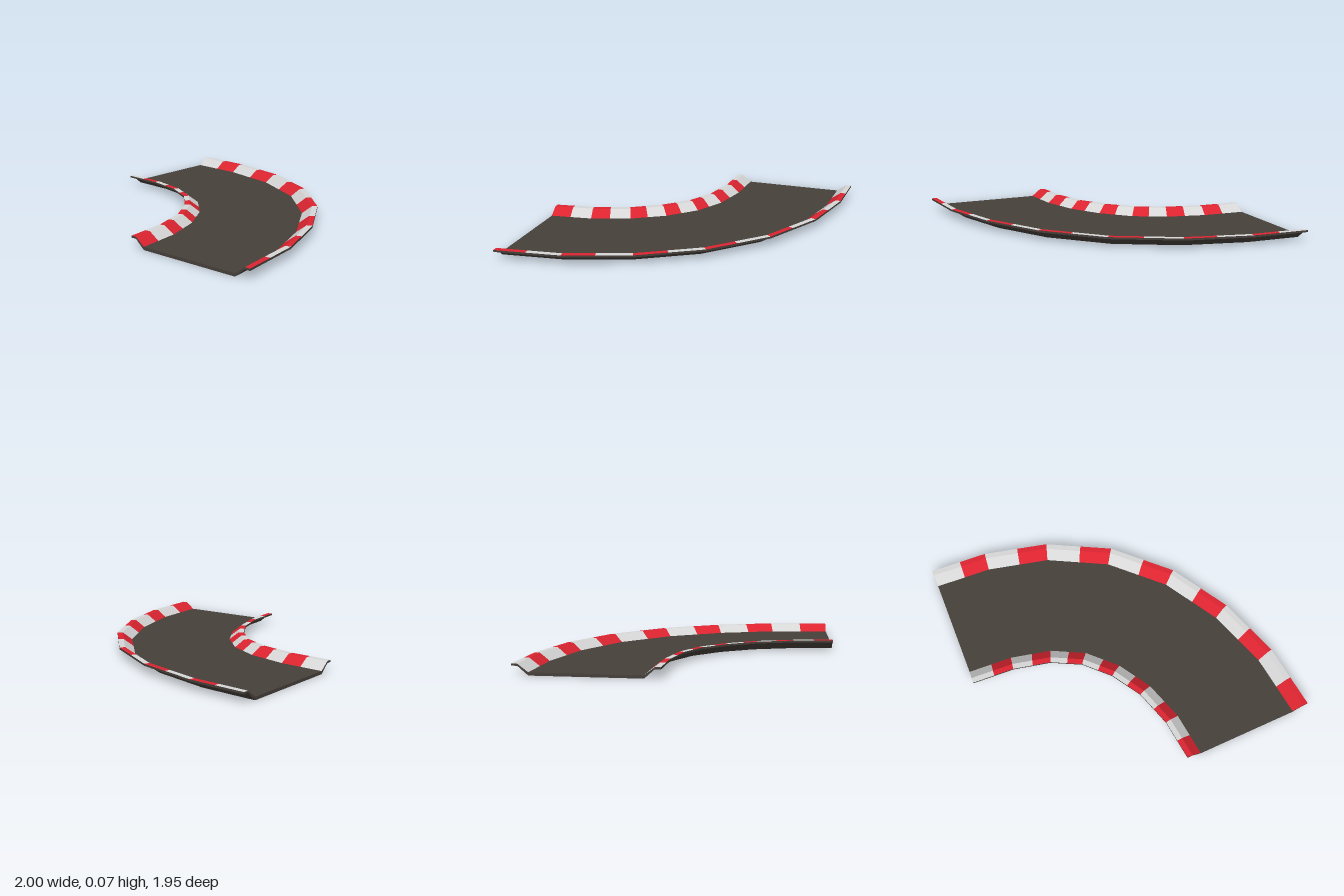
import * as THREE from 'three';

// Plan positions [x, z] of the outer and inner edge at each bend station
const OUTER = [[-0.97, -0.977], [-0.58, -0.95], [-0.145, -0.84], [0.267, -0.615],
  [0.6, -0.278], [0.824, 0.118], [0.957, 0.54], [1, 0.977]];
const INNER = [[-1, -0.08], [-0.715, -0.06], [-0.465, 0], [-0.273, 0.102],
  [-0.118, 0.262], [0, 0.46], [0.075, 0.706], [0.102, 0.977]];

// Cross-section from outer to inner edge: [fraction across, top y, underside y]
const SECTION = [[0, 0.07, 0.057], [0.041, 0.07, 0.057], [0.115, 0.02, 0],
  [0.888, 0.02, 0], [0.96, 0.07, 0.057], [1, 0.07, 0.057]];
const STRIPE_SPLIT = 0.525; // where each kerb block turns from white to red
const LAST = OUTER.length - 1;

const mix = (a, b, t) => a + (b - a) * t;

// Point on the track at station s (may be fractional), section column j
function point(s, j, top) {
  const i = Math.min(Math.floor(s), LAST - 1);
  const t = s - i;
  const [f, yTop, yBottom] = SECTION[j];
  const across = (k) => mix(
    mix(OUTER[i][k], OUTER[i + 1][k], t),
    mix(INNER[i][k], INNER[i + 1][k], t), f);
  return [across(0), top ? yTop : yBottom, across(1)];
}

const topQuad = (s0, s1, j) => [
  point(s0, j, true), point(s0, j + 1, true), point(s1, j + 1, true), point(s1, j, true)];

function quadMesh(name, quads, material) {
  const positions = [];
  for (const [a, b, c, d] of quads) positions.push(...a, ...b, ...c, ...a, ...c, ...d);
  const geometry = new THREE.BufferGeometry();
  geometry.setAttribute('position', new THREE.Float32BufferAttribute(positions, 3));
  geometry.computeVertexNormals();
  const mesh = new THREE.Mesh(geometry, material);
  mesh.name = name;
  return mesh;
}

export function createModel() {
  const asphalt = new THREE.MeshStandardMaterial({ color: 0x46403a });
  const white = new THREE.MeshStandardMaterial({ color: 0xd6d6d6 });
  const red = new THREE.MeshStandardMaterial({ color: 0xdc2430 });
  asphalt.name = 'asphalt';
  white.name = 'kerbWhite';
  red.name = 'kerbRed';

  const road = [], underside = [], edges = [], ends = [];
  const columns = SECTION.length - 1;

  for (let i = 0; i < LAST; i++) {
    // Driving surface
    road.push(topQuad(i, i + 1, 2));
    // Underside follows the kerb slopes
    for (let j = 0; j < columns; j++) {
      underside.push([point(i, j, false), point(i + 1, j, false),
        point(i + 1, j + 1, false), point(i, j + 1, false)]);
    }
    // Thin outer and inner rims
    edges.push([point(i, 0, true), point(i + 1, 0, true), point(i + 1, 0, false), point(i, 0, false)]);
    edges.push([point(i, columns, false), point(i + 1, columns, false),
      point(i + 1, columns, true), point(i, columns, true)]);
  }

  // Closed ends of the track piece
  for (let j = 0; j < columns; j++) {
    ends.push([point(0, j, true), point(0, j, false), point(0, j + 1, false), point(0, j + 1, true)]);
    ends.push([point(LAST, j, true), point(LAST, j + 1, true),
      point(LAST, j + 1, false), point(LAST, j, false)]);
  }

  const model = new THREE.Group();
  model.name = 'curvedTrack';
  model.add(
    quadMesh('roadSurface', road, asphalt),
    quadMesh('underside', underside, asphalt),
    quadMesh('rims', edges, asphalt),
    quadMesh('endFaces', ends, asphalt));

  // Striped kerbs: a slope and a flat lip on each side
  for (const [name, strips] of [['outerKerb', [0, 1]], ['innerKerb', [3, 4]]]) {
    const whites = [], reds = [];
    for (let i = 0; i < LAST; i++) {
      for (const j of strips) {
        whites.push(topQuad(i, i + STRIPE_SPLIT, j));
        reds.push(topQuad(i + STRIPE_SPLIT, i + 1, j));
      }
    }
    const kerb = new THREE.Group();
    kerb.name = name;
    kerb.add(quadMesh(name + 'White', whites, white), quadMesh(name + 'Red', reds, red));
    model.add(kerb);
  }
  return model;
}
